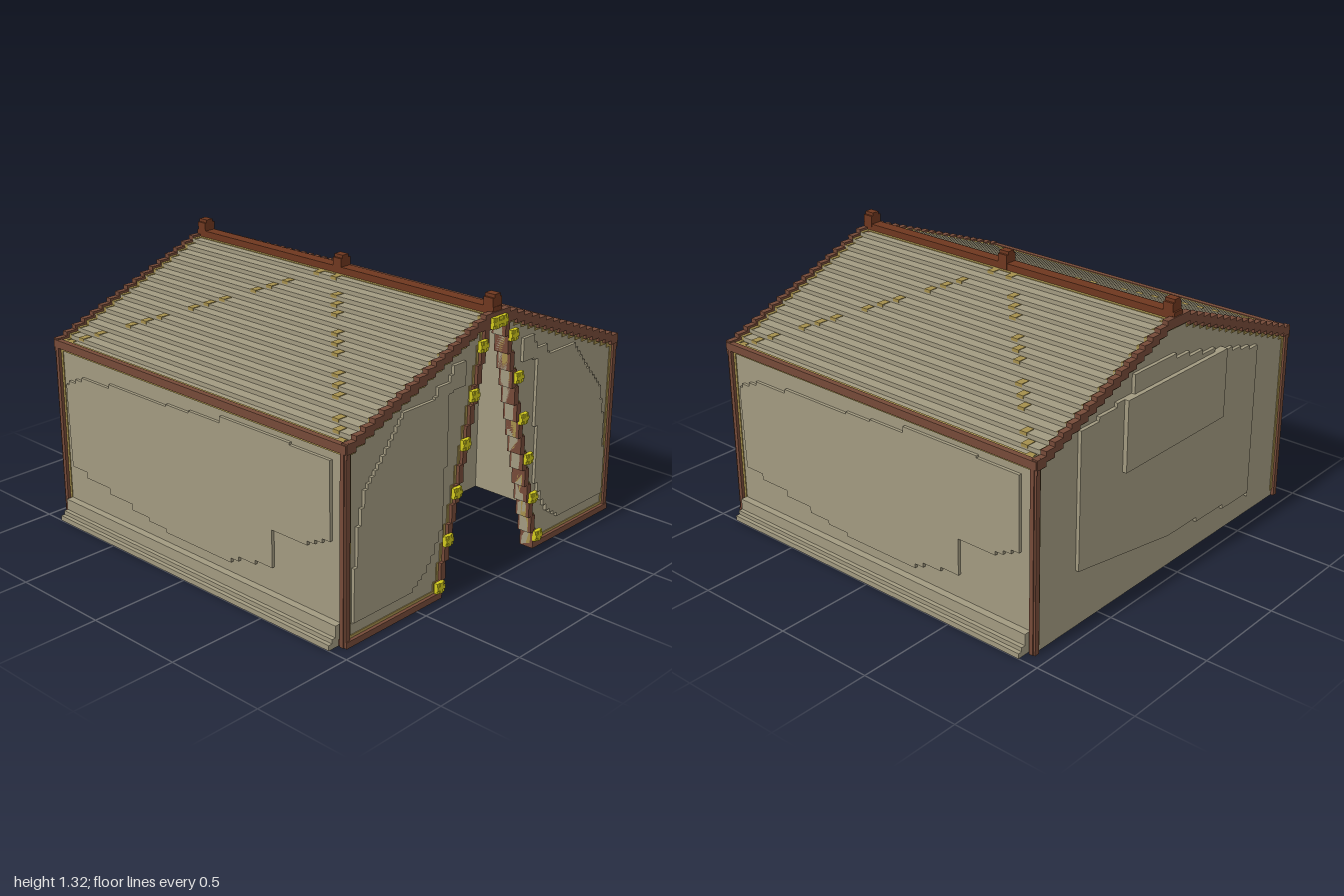
import * as THREE from 'three';

export function createModel() {
  const root = new THREE.Group();
  const mat = (name, color) => Object.assign(new THREE.MeshStandardMaterial({ color }), { name });
  const canvas = mat('canvas', 0xa29a80);
  const brown = mat('brown trim', 0x754a38);
  const wood = mat('ridge wood', 0x6e371f);
  const ochre = mat('ochre seam', 0xa58f4c);
  const yellow = mat('yellow buckle', 0xd0c81c);

  const add = (name, geo, m, parent = root) => {
    const mesh = new THREE.Mesh(geo, m);
    mesh.name = name;
    parent.add(mesh);
    return mesh;
  };
  // Box from minimum and maximum corners
  const box = (name, m, x0, x1, y0, y1, z0, z1, parent) => {
    const g = new THREE.BoxGeometry(x1 - x0, y1 - y0, z1 - z0);
    g.translate((x0 + x1) / 2, (y0 + y1) / 2, (z0 + z1) / 2);
    return add(name, g, m, parent);
  };
  // Outline in x, y extruded from z0 to z1
  const slab = (name, m, pts, z0, z1, parent) => {
    const g = new THREE.ExtrudeGeometry(new THREE.Shape(pts.map(p => new THREE.Vector2(...p))),
      { depth: z1 - z0, bevelEnabled: false });
    g.translate(0, 0, z0);
    return add(name, g, m, parent);
  };
  // Turn sloping segments into stair steps
  const stair = (pts, unit = 0.0206) => {
    const out = [pts[0]];
    for (let s = 1; s < pts.length; s++) {
      const [ax, ay] = pts[s - 1], [bx, by] = pts[s], dx = bx - ax, dy = by - ay;
      const low = Math.min(Math.abs(dx), Math.abs(dy));
      if (low < 1e-6) { out.push([bx, by]); continue; }
      const n = Math.max(1, Math.round(low / unit));
      for (let i = 0; i < n; i++) {
        const y = ay + dy * (i + 1) / n;
        out.push([ax + dx * i / n, y], [ax + dx * (i + 1) / n, y]);
      }
    }
    return out;
  };
  const flip = pts => pts.map(([x, y]) => [-x, y]);
  const back = pts => [...pts].reverse();
  const shift = (pts, dx, dy) => pts.map(([x, y]) => [x + dx, y + dy]);

  // Stepped roof line, right eave to left eave
  const half = stair([[0.925, 0.88], [0.03, 1.23]]);
  const roof = [...half, ...back(flip(half))];
  const gable = [[0.925, 0], ...roof, [-0.925, 0]];
  const door = stair([[0.33, 0], [0.035, 1.2]]);

  // Body, entrance chamber and front wall with its doorway
  slab('body', canvas, gable, -0.925, 0.31);
  slab('entranceChamber', canvas,
    [...gable, [-0.7, 0], [-0.7, 0.88], [0, 1.17], [0.7, 0.88], [0.7, 0]], 0.31, 0.88);
  slab('frontWall', canvas, [...gable, ...flip(door), ...back(door)], 0.88, 0.925);

  // Gable trim and seams, front and back
  const wide = stair([[0.94, 0.88], [0.03, 1.23]]);
  const line = [...wide, ...back(flip(wide))];
  const band = (pts, y0, y1) => [...shift(pts, 0, y0), ...back(shift(pts, 0, y1))];
  slab('frontGableTrim', brown, band(line, 0.014, -0.032), 0.915, 0.945);
  slab('backGableTrim', brown, band(line, 0.014, -0.032), -0.945, -0.915);
  slab('frontGableSeam', ochre, band(roof, 0.003, -0.046), 0.898, 0.929);
  slab('backGableSeam', ochre, band(roof, 0.003, -0.046), -0.929, -0.898);

  // Relief patch of the front wall
  const patch = stair([[0.2, 1.07], [0.28, 1.07], [0.3, 1.03], [0.38, 1], [0.4, 0.96], [0.6, 0.95],
    [0.68, 0.85], [0.75, 0.77], [0.83, 0.68], [0.87, 0.53], [0.89, 0.35], [0.9, 0.1], [0.52, 0.1],
    [0.43, 0.16], [0.38, 0.23], [0.33, 0.33], [0.33, 0.5], [0.31, 0.62], [0.31, 0.85],
    [0.28, 0.95], [0.2, 0.96]]);

  for (const s of [1, -1]) {
    const side = s > 0 ? 'left' : 'right';
    const m = pts => (s > 0 ? pts : flip(pts));
    const sbox = (name, mt, x0, x1, ...r) =>
      box(side + name, mt, Math.min(s * x0, s * x1), Math.max(s * x0, s * x1), ...r);
    // Doorway trim
    slab(side + 'DoorTrim', brown, m([...door, ...back(shift(door, 0.03, 0))]), 0.87, 0.945);
    slab(side + 'DoorSeam', ochre, m([...door, ...back(shift(door, 0.043, 0))]), 0.9, 0.929);
    sbox('FrontSill', brown, 0.33, 0.94, 0, 0.03, 0.88, 0.945);
    sbox('FrontSillSeam', ochre, 0.36, 0.92, 0.03, 0.043, 0.9, 0.929);
    slab(side + 'FrontPatch', canvas, m(patch), 0.92, 0.94);
    // Corner posts with seams
    for (const z of [1, -1]) {
      const zr = (a, b) => [Math.min(z * a, z * b), Math.max(z * a, z * b)];
      sbox('Post', brown, 0.915, 0.94, 0, 0.915, ...zr(0.915, 0.94));
      sbox('PostCapFace', brown, 0.92, 0.945, 0, 0.9, ...zr(0.91, 0.93));
      sbox('PostSeam', ochre, 0.9, 0.929, 0.03, 0.88, ...zr(0.897, 0.929));
    }
    // Eave beam with seams
    sbox('EaveBeam', brown, 0.918, 0.945, 0.87, 0.908, -0.94, 0.94);
    sbox('EaveSeam', ochre, 0.9, 0.929, 0.855, 0.875, -0.915, 0.915);
    sbox('RoofEaveSeam', ochre, 0.902, 0.92, 0.88, 0.904, -0.91, 0.91);
    // Ground skirt
    sbox('SkirtTop', canvas, 0.92, 0.96, 0, 0.1, -0.9, 0.9);
    sbox('SkirtMiddle', canvas, 0.92, 0.98, 0, 0.045, -0.9, 0.9);
    sbox('SkirtBase', canvas, 0.92, 1, 0, 0.025, -0.9, 0.9);
    // Buckles along the doorway
    for (let i = 0; i < 6; i++) {
      buckle(s * (0.355 - i * 0.05), 0.065 + i * 0.21);
    }
    buckle(s * 0.025, 1.2);
    // Diagonal roof stitching
    for (let i = 0; i < 17; i++) {
      if (i % 4 === 3) continue;
      const x = 0.925 - (i + 0.5) * 0.895 / 17, y = 0.88 + (i + 1) * 0.35 / 17;
      for (const z of [x * 0.97, -x * 0.97]) {
        sbox('RoofStitch', ochre, x - 0.02, x + 0.0285, y - 0.012, y + 0.003, z - 0.018, z + 0.018);
      }
    }
  }

  function buckle(x, y) {
    const g = new THREE.Group();
    g.name = 'buckle';
    g.position.set(x, y, 0.942);
    root.add(g);
    box('bucklePlate', yellow, -0.025, 0.025, -0.025, 0.025, 0, 0.018, g);
    box('buckleBar', yellow, -0.025, 0.025, -0.009, 0.009, 0, 0.023, g);
    box('buckleTongue', yellow, -0.009, 0.009, -0.025, 0.025, 0, 0.023, g);
  }

  // Relief patches of the side walls, the second turned half round
  const sidePatch = stair([[0.87, 0.64], [0.85, 0.7], [0.75, 0.74], [0.55, 0.76], [0.15, 0.78],
    [0, 0.79], [-0.2, 0.8], [-0.32, 0.83], [-0.62, 0.83], [-0.85, 0.82], [-0.85, 0.48],
    [-0.72, 0.42], [-0.51, 0.4], [-0.51, 0.24], [-0.3, 0.2], [-0.2, 0.155], [0.18, 0.155],
    [0.42, 0.19], [0.58, 0.22], [0.75, 0.25], [0.86, 0.28]]);
  for (const s of [1, -1]) {
    slab(s > 0 ? 'leftPatch' : 'rightPatch', canvas, flip(sidePatch), 0.92, 0.94)
      .rotation.y = s * Math.PI / 2;
  }

  // Back relief and window flap
  slab('backPatch', canvas, stair([[0.66, 0.28], [0.66, 0.92], [0.3, 0.98], [0.28, 1.07], [0, 1.07],
    [-0.3, 1], [-0.66, 0.9], [-0.66, 0.1], [0, 0.17]]), -0.942, -0.92);
  box('backFlap', canvas, -0.37, 0.37, 0.64, 0.98, -0.963, -0.92);

  // Ridge beam and its posts
  box('ridgeSeam', ochre, -0.045, 0.045, 1.19, 1.233, -0.91, 0.91);
  box('ridgeBeam', wood, -0.03, 0.03, 1.2, 1.265, -0.94, 0.94);
  box('doorApex', brown, -0.06, 0.06, 1.17, 1.23, 0.88, 0.944);
  for (const z of [0.912, 0.028, -0.905]) {
    box('ridgePost', wood, -0.031, 0.031, 1.22, 1.305, z - 0.026, z + 0.026);
    box('ridgePostCap', wood, -0.02, 0.02, 1.3, 1.32, z - 0.026, z + 0.026);
  }
  return root;
}
